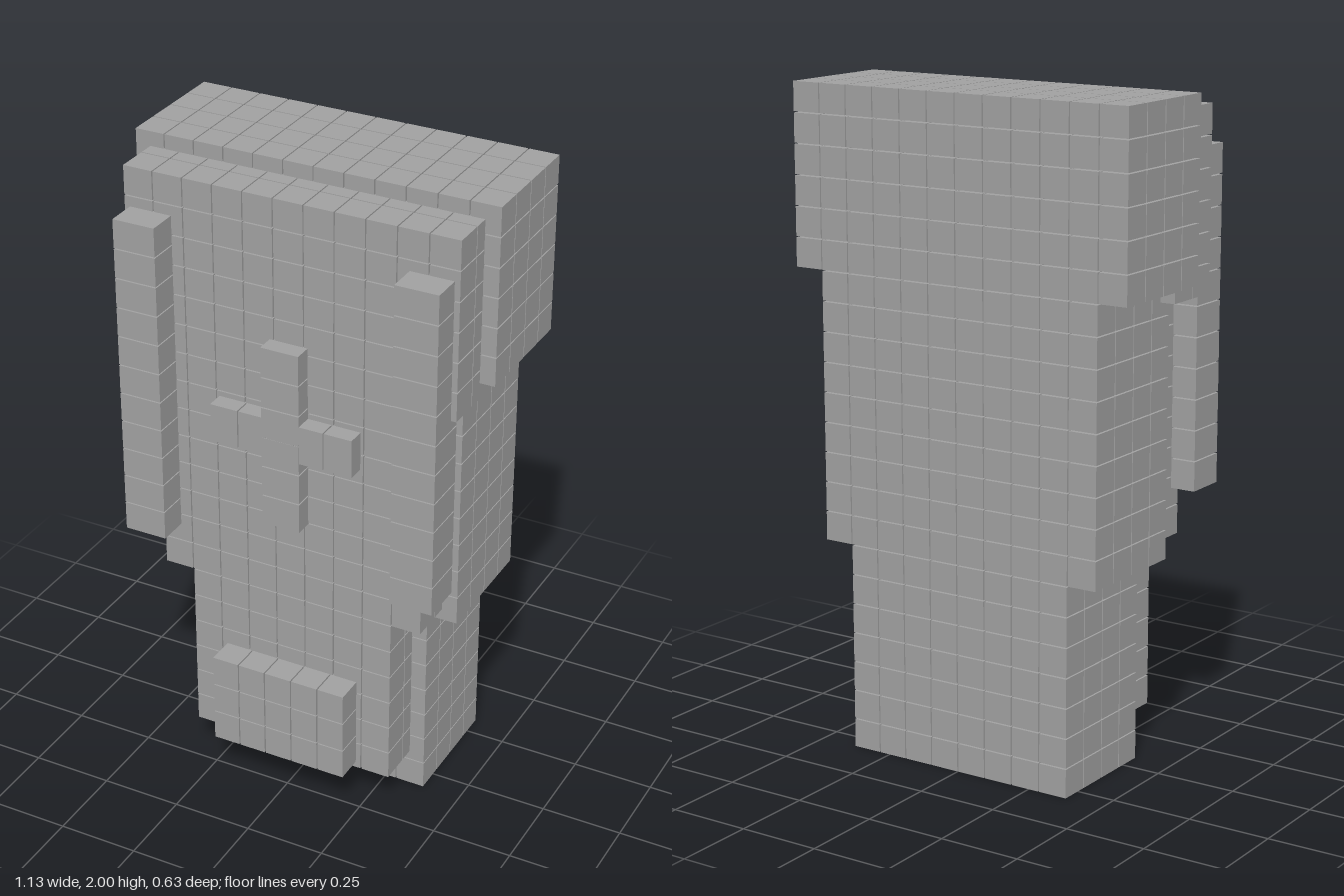
import * as THREE from 'three';
import { mergeGeometries } from 'three/addons/utils/BufferGeometryUtils.js';

const GAP = 0.004; // seam between neighbouring blocks

// Fills the box [x0,x1] x [y0,y1] x [z0,z1] with nx * ny * nz separate blocks
function blocks([x0, x1, nx], [y0, y1, ny], [z0, z1, nz]) {
  const w = (x1 - x0 + GAP) / nx, h = (y1 - y0 + GAP) / ny, d = (z1 - z0 + GAP) / nz;
  const list = [];
  for (let i = 0; i < nx; i++)
    for (let j = 0; j < ny; j++)
      for (let k = 0; k < nz; k++) {
        const g = new THREE.BoxGeometry(w - GAP, h - GAP, d - GAP);
        g.translate(x0 + w * (i + 0.5) - GAP / 2, y0 + h * (j + 0.5) - GAP / 2, z0 + d * (k + 0.5) - GAP / 2);
        list.push(g);
      }
  return mergeGeometries(list);
}

export function createModel() {
  const model = new THREE.Group();
  const grey = new THREE.MeshStandardMaterial({ color: 0xa0a0a0 });
  grey.name = 'stone grey';

  const add = (name, x, y, z) => {
    const mesh = new THREE.Mesh(blocks(x, y, z), grey);
    mesh.name = name;
    model.add(mesh);
  };

  // Rear body, stepping outwards towards the top
  const rear = [-0.315, 0.071, 4];
  add('bodyLower', [-0.378, 0.378, 8], [0, 0.633, 7], rear);
  add('bodyMiddle', [-0.473, 0.473, 10], [0.637, 1.452, 9], rear);
  add('bodyUpper', [-0.567, 0.567, 12], [1.456, 2, 6], rear);

  // Front slab, stepped the same way
  const slab = [0.022, 0.219, 2];
  add('frontLower', [-0.33, 0.33, 7], [0.12, 0.669, 6], slab);
  add('frontMiddle', [-0.425, 0.425, 9], [0.673, 1.402, 8], slab);
  add('frontUpper', [-0.52, 0.52, 11], [1.406, 1.955, 6], slab);

  // Upright rails on both sides
  for (const [name, x] of [['leftRail', 0.37], ['rightRail', -0.503]])
    add(name, [x, x + 0.133, 1], [0.82, 1.832, 11], [0.18, 0.313, 1]);

  // Raised cross
  add('crossUpright', [-0.06, 0.06, 1], [0.945, 1.52, 6], [0.18, 0.275, 1]);
  add('crossBar', [-0.227, 0.227, 5], [1.175, 1.295, 1], [0.18, 0.274, 1]);

  // Block panel at the foot
  add('footPanel', [-0.22, 0.22, 5], [0.14, 0.435, 3], [0.21, 0.307, 1]);

  return model;
}
